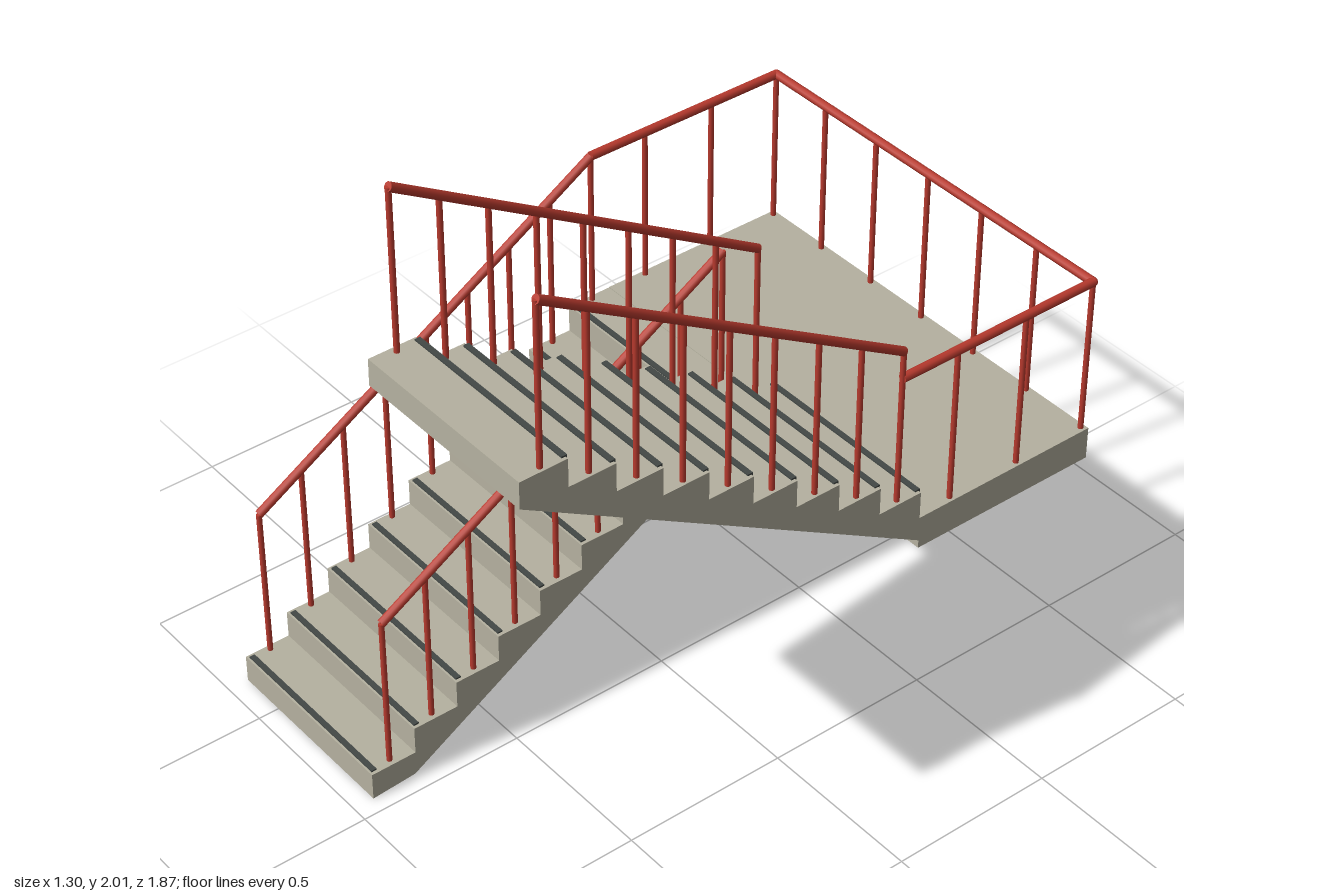
import * as THREE from 'three';

const STEPS = 9, TREAD = 0.141, RISE = 0.0843;
const LANDING_Y = 0.76, FRONT = 0.937, TURN = -0.333, BACK = -0.935;
const RAIL_X = 0.635, INNER_X = 0.07, RAIL_R = 0.013, POST_R = 0.008, RAIL_H = 0.478;

export function createModel() {
  const model = new THREE.Group();
  const material = (name, color) => {
    const m = new THREE.MeshStandardMaterial({ color });
    m.name = name;
    return m;
  };
  const concrete = material('concrete', 0xb5b1a0);
  const rubber = material('dark grip', 0x434846);
  const red = material('red paint', 0xb83a2e);

  const add = (parent, name, geometry, mat) => {
    const mesh = new THREE.Mesh(geometry, mat);
    mesh.name = name;
    parent.add(mesh);
    return mesh;
  };
  const group = (name) => {
    const g = new THREE.Group();
    g.name = name;
    model.add(g);
    return g;
  };
  const box = (parent, name, w, h, d, x, y, z, mat) =>
    add(parent, name, new THREE.BoxGeometry(w, h, d), mat).position.set(x, y, z);

  // Round bar between two points
  const bar = (parent, name, a, b, r) => {
    const dir = b.clone().sub(a);
    const mesh = add(parent, name, new THREE.CylinderGeometry(r, r, dir.length(), 10), red);
    mesh.position.copy(a).add(b).multiplyScalar(0.5);
    mesh.quaternion.setFromUnitVectors(new THREE.Vector3(0, 1, 0), dir.normalize());
  };
  const V = (x, y, z) => new THREE.Vector3(x, y, z);

  // One flight: stepped slab, grip strips and a railing on both sides.
  // dir is the climbing direction along z; underside lists the lower edge in [z, y].
  const flight = (name, x, startZ, startY, dir, underside, gripShift) => {
    const g = group(name);
    const pts = [[startZ, startY]];
    for (let i = 0; i < STEPS; i++) {
      const y = startY + (i + 1) * RISE;
      pts.push([startZ + dir * i * TREAD, y], [startZ + dir * (i + 1) * TREAD, y]);
    }
    pts.push(...underside);
    const shape = new THREE.Shape(pts.map(([z, y]) => new THREE.Vector2(z, y)));
    const slab = new THREE.ExtrudeGeometry(shape, { depth: 0.6, bevelEnabled: false });
    slab.rotateY(-Math.PI / 2).translate(x + 0.3, 0, 0);
    add(g, 'steppedSlab', slab, concrete);

    for (let i = 0; i < STEPS; i++) {
      const y = startY + (i + 1) * RISE;
      box(g, 'gripStrip', 0.58, 0.009, 0.016, x, y, startZ + dir * i * TREAD + gripShift, rubber);
    }

    const side = Math.sign(x);
    for (const rx of [side * INNER_X, side * RAIL_X]) {
      const at = (i, h) => V(rx, startY + (i + 1) * RISE + h, startZ + dir * (i + 0.5) * TREAD);
      for (let i = 0; i < STEPS; i++) bar(g, 'post', at(i, 0), at(i, RAIL_H), POST_R);
      bar(g, 'handrail', at(0, RAIL_H), at(STEPS - 1, RAIL_H), RAIL_R);
    }
  };

  flight('lowerFlight', -0.35, FRONT, 0, -1, [[TURN, 0.685], [0.8, 0.01]], -0.014);
  flight('upperFlight', 0.35, TURN, LANDING_Y, 1, [[FRONT, 1.44], [TURN, 0.685]], 0.003);

  // Landing slab
  const depth = TURN - BACK;
  box(model, 'landing', 1.3, 0.1, depth, 0, LANDING_Y - 0.05, (TURN + BACK) / 2, concrete);

  // Landing railing around three sides
  const rail = group('landingRailing');
  const top = LANDING_Y + RAIL_H, backZ = -0.92, startZ = -0.262;
  const post = (x, z) => bar(rail, 'post', V(x, LANDING_Y, z), V(x, top, z), POST_R);
  for (const s of [-1, 1]) {
    const x = s * RAIL_X;
    bar(rail, 'sideRail', V(x, top, startZ), V(x, top, backZ), RAIL_R);
    for (const z of [-0.45, -0.685]) post(x, z);
    add(rail, 'railCorner', new THREE.SphereGeometry(RAIL_R, 10, 8), red).position.set(x, top, backZ);
  }
  bar(rail, 'backRail', V(-RAIL_X, top, backZ), V(RAIL_X, top, backZ), RAIL_R);
  for (let i = 0; i <= 6; i++) post(-RAIL_X + (i * RAIL_X) / 3, backZ);

  return model;
}
